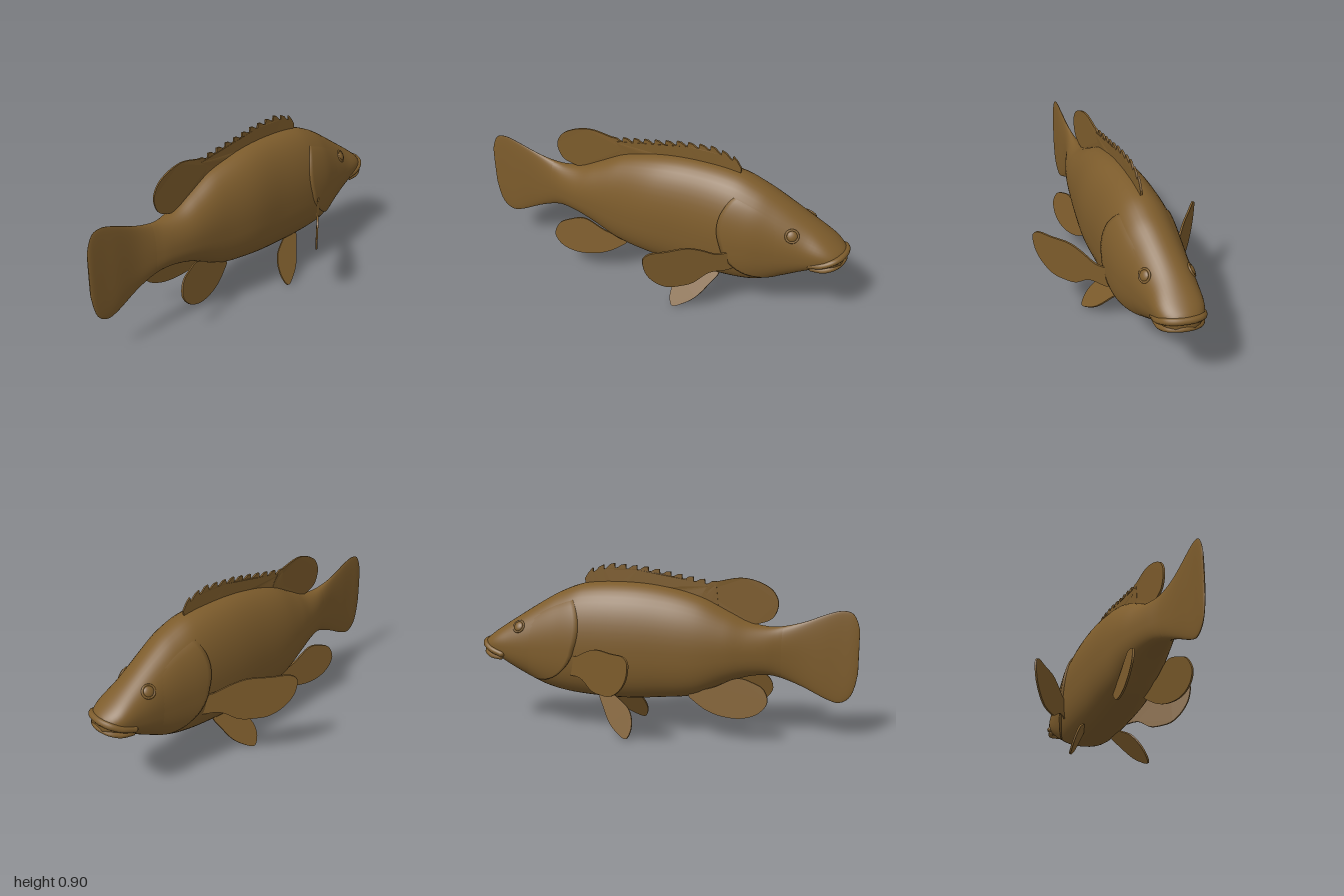
import * as THREE from 'three';

// Body stations from snout to tail: z, centre x, half width, top y, bottom y
const STATIONS = [
  [-0.985, -0.135, 0.05, 0.475, 0.41], [-0.96, -0.132, 0.085, 0.497, 0.40], [-0.9, -0.13, 0.117, 0.54, 0.385],
  [-0.8, -0.12, 0.133, 0.605, 0.325], [-0.65, -0.09, 0.157, 0.70, 0.245], [-0.55, -0.07, 0.172, 0.755, 0.212],
  [-0.42, -0.055, 0.18, 0.80, 0.195], [-0.2, -0.03, 0.179, 0.812, 0.187], [0, 0, 0.174, 0.795, 0.2],
  [0.2, 0.022, 0.155, 0.745, 0.228], [0.35, 0.048, 0.131, 0.67, 0.3], [0.45, 0.069, 0.105, 0.62, 0.335],
  [0.55, 0.088, 0.073, 0.6, 0.345], [0.62, 0.1, 0.047, 0.605, 0.33], [0.72, 0.116, 0.025, 0.63, 0.29],
  [0.85, 0.139, 0.016, 0.68, 0.225], [0.91, 0.148, 0.012, 0.695, 0.21], [0.96, 0.155, 0.01, 0.685, 0.238],
  [0.985, 0.159, 0.008, 0.65, 0.29], [1, 0.161, 0.004, 0.6, 0.37],
];

// Smooth interpolation of the stations at z
function section(z) {
  let i = 0;
  while (i < STATIONS.length - 2 && z > STATIONS[i + 1][0]) i++;
  const p = STATIONS[i], q = STATIONS[i + 1];
  const o = STATIONS[Math.max(i - 1, 0)], r = STATIONS[Math.min(i + 2, STATIONS.length - 1)];
  const h = q[0] - p[0], t = THREE.MathUtils.clamp((z - p[0]) / h, 0, 1), t2 = t * t, t3 = t2 * t;
  return [1, 2, 3, 4].map((k) => {
    const m0 = (q[k] - o[k]) / (q[0] - o[0]) * h, m1 = (r[k] - p[k]) / (r[0] - p[0]) * h;
    return (2 * t3 - 3 * t2 + 1) * p[k] + (t3 - 2 * t2 + t) * m0 + (3 * t2 - 2 * t3) * q[k] + (t3 - t2) * m1;
  });
}
const centreX = (z) => section(z)[0];

// Point on the body skin; the belly is squarer than the back
function skin(z, a, off = 0, scale = 1) {
  const [cx, hw, top, bot] = section(z);
  const c = Math.cos(a), s = Math.sin(a), mid = bot + (top - bot) * 0.46;
  const e = s < 0 ? 2 / 2.6 : 2 / 2.05;
  const px = Math.sign(c) * Math.abs(c) ** e, py = Math.sign(s) * Math.abs(s) ** e;
  return [
    cx + px * (hw * scale + off),
    mid + py * ((s > 0 ? top - mid : mid - bot) * scale + off * 0.5), z,
  ];
}

// Surface from a grid of points
function gridGeometry(rows, wrap) {
  const n = rows[0].length, index = [];
  for (let i = 0; i < rows.length - 1; i++) {
    for (let j = 0; j < (wrap ? n : n - 1); j++) {
      const a = i * n + j, b = i * n + (j + 1) % n;
      index.push(a, b, a + n, b, b + n, a + n);
    }
  }
  const g = new THREE.BufferGeometry();
  g.setAttribute('position', new THREE.Float32BufferAttribute(rows.flat(2), 3));
  g.setIndex(index);
  g.computeVertexNormals();
  return g;
}

// Closed stretch of the body between two z values
function loft(z0, z1, steps, closeStart, closeEnd) {
  const ring = (z, scale) => Array.from({ length: 48 }, (_, j) => skin(z, j / 48 * Math.PI * 2, 0, scale));
  const rows = [];
  if (closeStart) rows.push(ring(z0, 0), ring(z0, 0.6));
  for (let i = 0; i <= steps; i++) rows.push(ring(z0 + (z1 - z0) * i / steps, 1));
  if (closeEnd) rows.push(ring(z1, 0));
  return gridGeometry(rows, true);
}

// Thin fin: a flat outline placed in space by a rule
function finGeometry(points, place, thickDir, smooth = true) {
  const pts = points.map((p) => new THREE.Vector2(...p));
  const outline = smooth
    ? new THREE.CatmullRomCurve3(pts.map((p) => new THREE.Vector3(p.x, p.y, 0)), true)
      .getPoints(64).slice(0, -1).map((p) => new THREE.Vector2(p.x, p.y))
    : pts;
  const g = new THREE.ExtrudeGeometry(new THREE.Shape(outline), { depth: 0.01, bevelEnabled: false });
  const pos = g.attributes.position;
  for (let i = 0; i < pos.count; i++) {
    const d = pos.getZ(i) - 0.005, [x, y, z] = place(pos.getX(i), pos.getY(i));
    pos.setXYZ(i, x + thickDir[0] * d, y + thickDir[1] * d, z + thickDir[2] * d);
  }
  g.computeVertexNormals();
  return g;
}

export function createModel() {
  const group = new THREE.Group();
  const brown = new THREE.MeshStandardMaterial({ color: 0x7d5c2c, side: THREE.DoubleSide });
  brown.name = 'olive brown';
  const add = (name, geometry) => {
    const m = new THREE.Mesh(geometry, brown);
    m.name = name;
    group.add(m);
    return m;
  };

  add('body', loft(-0.985, 0.62, 80, true, false));
  add('tailFin', loft(0.62, 1, 36, false, true));

  // Spiny dorsal fin with a saw-tooth edge
  const crest = [[-0.43, 0.845], [-0.38, 0.885], [-0.28, 0.91], [-0.1, 0.897], [0.1, 0.86], [0.3, 0.825]];
  const crestY = (z) => {
    const i = Math.max(1, crest.findIndex((p) => p[0] >= z - 1e-6)), a = crest[i - 1], b = crest[i];
    return a[1] + (b[1] - a[1]) * (z - a[0]) / (b[0] - a[0]);
  };
  const spiny = [];
  for (let i = 0; i < 12; i++) {
    const z = -0.43 + i * 0.06;
    spiny.push([z, crestY(z) - 0.022], [z + 0.022, crestY(z + 0.022) - 0.005], [z + 0.045, crestY(z + 0.045)]);
    spiny.push([z + 0.047, crestY(z + 0.047) - 0.024]);
  }
  for (let i = 0; i <= 14; i++) {
    const z = 0.29 - i * 0.051;
    spiny.push([z, section(z)[2] - 0.03]);
  }
  const onMidline = (z, y) => [centreX(z), y, z];
  add('spinyDorsalFin', finGeometry(spiny, onMidline, [1, 0, 0], false));
  add('softDorsalFin', finGeometry(
    [[0.2, 0.73], [0.24, 0.81], [0.32, 0.838], [0.41, 0.85], [0.5, 0.828], [0.565, 0.785], [0.592, 0.72],
      [0.565, 0.645], [0.51, 0.618], [0.44, 0.61], [0.32, 0.66]], onMidline, [1, 0, 0]));

  // Pectoral fins: fraction of length, height
  const pectoral = [[0, 0.42], [0.2, 0.435], [0.37, 0.475], [0.52, 0.5], [0.75, 0.5], [0.95, 0.498], [1, 0.47],
    [0.98, 0.4], [0.9, 0.335], [0.75, 0.28], [0.6, 0.27], [0.45, 0.277], [0.28, 0.325], [0, 0.34]];
  add('pectoralFinLeft', finGeometry(pectoral,
    (u, y) => [0.1 + 0.34 * u, y, -0.49 + 0.33 * u], [0.7, 0, -0.7]));
  add('pectoralFinRight', finGeometry(pectoral,
    (u, y) => [-0.19 - 0.255 * u, y, -0.5 + 0.475 * u], [0.88, 0, 0.47]));

  // Pelvic fins: z, y
  const pelvic = [[-0.38, 0.21], [-0.35, 0.15], [-0.3, 0.075], [-0.25, 0.035], [-0.19, 0.01], [-0.165, 0.05],
    [-0.165, 0.11], [-0.19, 0.16], [-0.25, 0.2], [-0.31, 0.225]];
  add('pelvicFinLeft', finGeometry(pelvic,
    (z, y) => [0.06 + (0.21 - y) * 0.62 + (z + 0.27) * 0.2, y, z], [0.85, 0.5, 0]));
  add('pelvicFinRight', finGeometry(pelvic,
    (z, y) => [-0.155 - (0.21 - y) * 0.32 - (z + 0.27) * 0.2, y, z + 0.06], [0.92, -0.35, 0]));

  // Paired rear belly fins: z, y
  const anal = [[0.16, 0.235], [0.2, 0.2], [0.26, 0.165], [0.34, 0.142], [0.45, 0.14], [0.54, 0.175],
    [0.583, 0.235], [0.56, 0.3], [0.5, 0.33], [0.42, 0.345], [0.3, 0.29]];
  add('analFinLeft', finGeometry(anal,
    (z, y) => [0.1 + (z - 0.17) * 0.33 + (0.24 - y) * 0.2, y, 0.16 + (z - 0.16) * 0.9], [0.93, 0.2, -0.3]));
  add('analFinRight', finGeometry(anal, (z, y) => [-0.05 - (0.34 - y) * 0.12, y, z], [1, 0, 0]));

  for (const side of [1, -1]) {
    const label = side > 0 ? 'Left' : 'Right';
    const angle = (a) => (side > 0 ? a : Math.PI - a);

    // Gill cover: a plate lifting off the skin towards its rear edge
    const rows = [];
    for (let i = 0; i <= 15; i++) {
      const u = Math.min(i / 14, 1), row = [];
      for (let j = 0; j <= 24; j++) {
        const v = j / 24, a = -1.05 + v * 1.95;
        const rear = -0.4 - 0.22 * (Math.sin(a) - 0.3) ** 2;
        const lift = i === 15 ? -0.01 : 0.016 * u * Math.sqrt(Math.sin(Math.PI * v) + 1e-9) - 0.002;
        row.push(skin(-0.72 + (rear + 0.72) * u, angle(a), lift));
      }
      rows.push(row);
    }
    add('gillCover' + label, gridGeometry(rows, false));

    // Eye and its rim, turned to the skin
    const a = angle(0.66), at = (z, b) => new THREE.Vector3(...skin(z, b));
    const p = at(-0.75, a);
    const normal = at(-0.75, a + 0.02).sub(p).cross(at(-0.73, a).sub(p)).normalize();
    const turn = new THREE.Quaternion().setFromUnitVectors(new THREE.Vector3(0, 0, 1), normal);
    const ball = add('eye' + label, new THREE.SphereGeometry(0.027, 24, 16));
    ball.scale.z = 0.45;
    const rim = add('eyeRim' + label, new THREE.TorusGeometry(0.031, 0.006, 8, 28));
    for (const m of [ball, rim]) {
      m.position.copy(p);
      m.quaternion.copy(turn);
    }
  }

  // Lips wrapped round the snout: half width, y, z from corner to middle
  const lip = (name, half, radius) => {
    const pts = [...half.map(([w, y, z]) => [-w, y, z]), ...half.slice(0, -1).reverse()]
      .map(([w, y, z]) => new THREE.Vector3(-0.132 + w, y, z));
    add(name, new THREE.TubeGeometry(new THREE.CatmullRomCurve3(pts), 48, radius, 10));
    for (const end of [pts[0], pts[pts.length - 1]]) {
      add(name + 'Corner', new THREE.SphereGeometry(radius, 12, 8)).position.copy(end);
    }
  };
  lip('upperLip', [[0.113, 0.412, -0.85], [0.108, 0.432, -0.91], [0.083, 0.454, -0.956], [0.045, 0.463, -0.978],
    [0, 0.465, -0.984]], 0.017);
  lip('lowerLip', [[0.108, 0.393, -0.86], [0.1, 0.398, -0.915], [0.076, 0.41, -0.955], [0.04, 0.416, -0.974],
    [0, 0.418, -0.98]], 0.014);

  return group;
}
